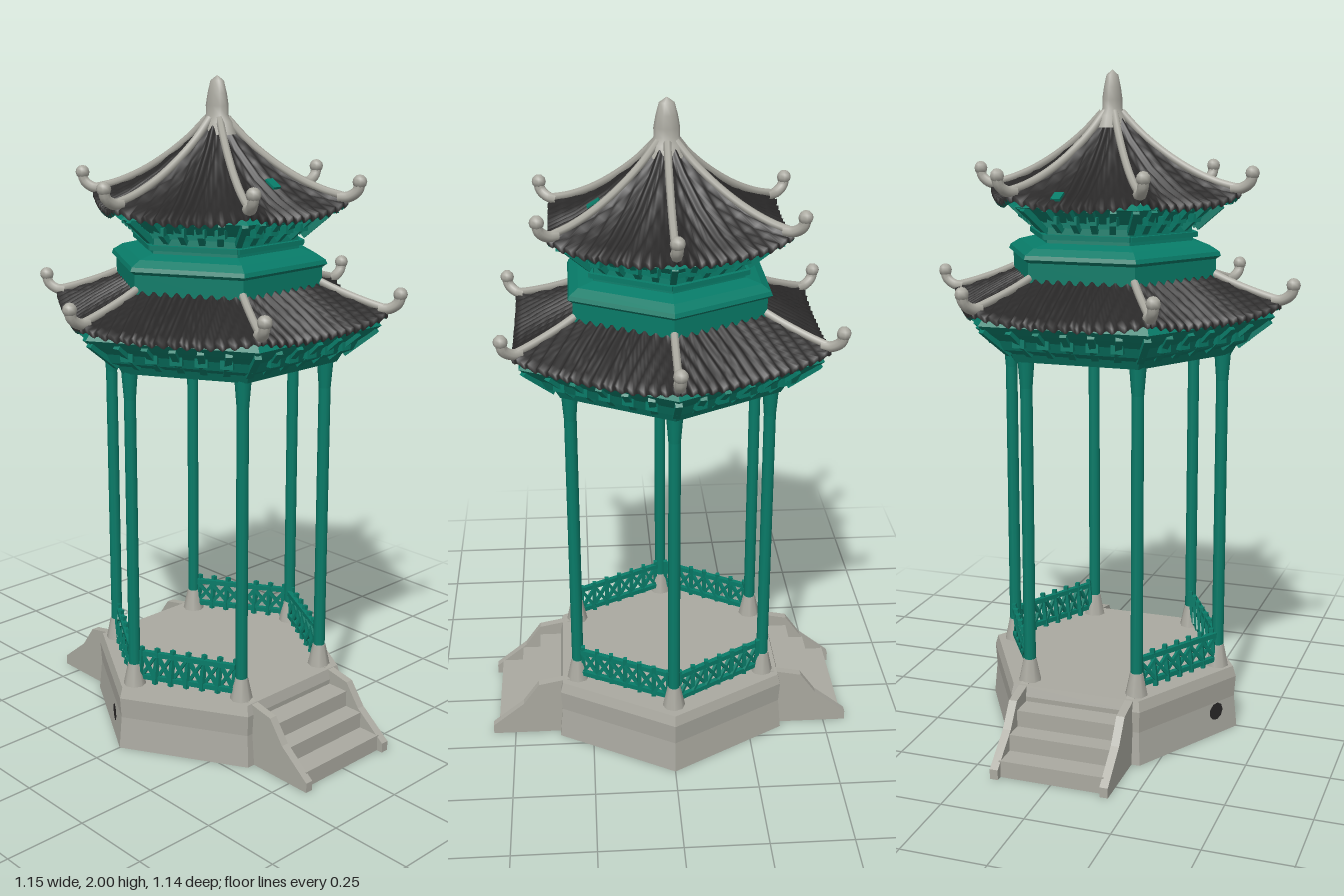
import * as THREE from 'three';

const stone = new THREE.MeshStandardMaterial({ color: 0xaaa9a0 });
stone.name = 'stone';
const green = new THREE.MeshStandardMaterial({ color: 0x087b68, side: THREE.DoubleSide });
green.name = 'greenPaint';
const tile = new THREE.MeshStandardMaterial({ color: 0x292828 });
tile.name = 'darkTile';

const V = (x, y, z) => new THREE.Vector3(x, y, z);
// Point at hexagon corner i (corner 0 on +x)
const corner = (i, r, y) => V(r * Math.cos(i * Math.PI / 3), y, r * Math.sin(i * Math.PI / 3));
// Point on hexagon side i, u from 0 to 1 between its corners
const onSide = (i, u, r, y) => corner(i, r, y).lerp(corner(i + 1, r, y), u);

function add(parent, name, geo, mat, x = 0, y = 0, z = 0) {
  const m = new THREE.Mesh(geo, mat);
  m.name = name;
  m.position.set(x, y, z);
  parent.add(m);
  return m;
}

function group(parent, name, x = 0) {
  const g = new THREE.Group();
  g.name = name;
  g.position.x = x;
  parent.add(g);
  return g;
}

// Square bar between two points
function bar(parent, name, a, b, w, mat) {
  const m = add(parent, name, new THREE.BoxGeometry(w, w, a.distanceTo(b)), mat);
  m.position.copy(a).lerp(b, 0.5);
  m.lookAt(b);
  return m;
}

const profilePoints = pairs => pairs.map(p => new THREE.Vector2(p[0], p[1]));

// Six-sided faceted body from [radius, y] pairs
function hexBody(pairs) {
  const g = new THREE.LatheGeometry(profilePoints(pairs), 6, Math.PI / 2).toNonIndexed();
  g.computeVertexNormals();
  return g;
}

// Roof point: side i, u along the side, v from top to eave
function roofPoint(spec, i, u, v, drop, amp) {
  const n = spec.profile.length - 1;
  const k = Math.min(Math.floor(v * n), n - 1), f = v * n - k;
  const [r0, y0] = spec.profile[k], [r1, y1] = spec.profile[k + 1];
  const r = r0 + (r1 - r0) * f, e = Math.abs(2 * u - 1);
  const rib = amp * Math.cos((u - 0.5) * r * Math.PI * 2 / 0.034);
  const y = y0 + (y1 - y0) * f + spec.lift * e ** 3 * v * v + rib - drop;
  return onSide(i, u, r + rib * 0.6, y);
}

// Ribbed hexagonal roof skin with upturned corners and a short eave lip
function roofSkin(spec, drop, lip) {
  const rows = 8, cols = 72, pos = [], idx = [];
  for (let i = 0; i < 6; i++) {
    const base = pos.length / 3;
    for (let j = 0; j <= rows + 1; j++) {
      for (let c = 0; c <= cols; c++) {
        const extra = j > rows ? lip : 0;
        pos.push(...roofPoint(spec, i, c / cols, Math.min(j / rows, 1), drop + extra, 0.006).toArray());
      }
    }
    for (let j = 0; j <= rows; j++) {
      for (let c = 0; c < cols; c++) {
        const a = base + j * (cols + 1) + c, b = a + cols + 1;
        idx.push(a, a + 1, b, a + 1, b + 1, b);
      }
    }
  }
  const g = new THREE.BufferGeometry();
  g.setAttribute('position', new THREE.Float32BufferAttribute(pos, 3));
  g.setIndex(idx);
  g.computeVertexNormals();
  return g;
}

function buildRoof(parent, name, spec) {
  const g = group(parent, name);
  add(g, 'roofTiles', roofSkin(spec, 0, 0.014), tile);
  add(g, 'roofUnderside', roofSkin(spec, 0.014, 0), green);
  const [r, y] = spec.profile.at(-1);
  const tipY = y + spec.lift;
  for (let i = 0; i < 6; i++) {
    // Ridge along the corner, ending in a thick upturned horn
    const pts = [0, 0.2, 0.4, 0.6, 0.8, 0.97].map(v => roofPoint(spec, i, 0, v, -0.007, 0));
    add(g, 'ridge', new THREE.TubeGeometry(new THREE.CatmullRomCurve3(pts), 30, 0.0115, 7), stone);
    const horn = [corner(i, r - 0.03, tipY + 0.006), corner(i, r, tipY + 0.008),
      corner(i, r + 0.026, tipY + 0.026), corner(i, r + 0.034, tipY + 0.055)];
    add(g, 'ridgeHorn', new THREE.TubeGeometry(new THREE.CatmullRomCurve3(horn), 12, 0.016, 8), stone);
    const knob = add(g, 'ridgeTip', new THREE.SphereGeometry(0.021, 8, 6), stone);
    knob.position.copy(corner(i, r + 0.032, tipY + 0.052));
  }
}

// Sloped bracket arms with cross blocks, spaced along each side
function buildBrackets(parent, name, count, r0, y0, r1, y1, w) {
  const g = group(parent, name);
  const rm = (r0 + r1) / 2, ym = (y0 + y1) / 2, du = 0.25 / count;
  for (let i = 0; i < 6; i++) {
    for (let k = 0; k < count; k++) {
      const u = k / count;
      bar(g, 'bracketArm', onSide(i, u, r0, y0), onSide(i, u, r1, y1), w, green);
      if (k > 0) bar(g, 'bracketBlock', onSide(i, u - du, rm, ym), onSide(i, u + du, rm, ym), w * 1.3, green);
    }
  }
}

function buildBase(parent) {
  const g = group(parent, 'base');
  add(g, 'platform', hexBody([[0, 0.004], [0.4, 0.004], [0.41, 0], [0.4, 0.1], [0.405, 0.165],
    [0.395, 0.197], [0, 0.197]]), stone);
  // Hollow stairs: thin steps between two side walls
  const cheek = new THREE.Shape(profilePoints(
    [[0.32, 0], [0.57, 0], [0.57, 0.03], [0.47, 0.11], [0.42, 0.18], [0.32, 0.2]]));
  for (const turn of [0, Math.PI]) {
    const stairs = group(g, 'stairs');
    stairs.rotation.y = turn;
    [[0.15, 0.32, 0.42], [0.1, 0.4, 0.48], [0.05, 0.46, 0.55]].forEach(([h, z0, z1]) =>
      add(stairs, 'step', new THREE.BoxGeometry(0.32, 0.05, z1 - z0), stone, 0, h - 0.025, (z0 + z1) / 2));
    for (const x of [-0.155, 0.18]) {
      const side = add(stairs, 'stairCheek',
        new THREE.ExtrudeGeometry(cheek, { depth: 0.025, bevelEnabled: false }), stone, x, 0, 0);
      side.rotation.y = -Math.PI / 2;
    }
  }
  // Small dark openings: one low on a side, one underneath
  const drain = add(g, 'drainOpening', new THREE.CircleGeometry(0.028, 9), tile);
  drain.position.copy(onSide(3, 0.22, 0.409, 0.075));
  drain.lookAt(drain.position.clone().add(corner(3.5, 1, 0)));
  add(g, 'drainOutlet', new THREE.CircleGeometry(0.03, 9), tile, -0.3, 0.001, 0.1).rotation.x = Math.PI / 2;
}

function buildColumns(parent) {
  const g = group(parent, 'columns', -0.006);
  for (let i = 0; i < 6; i++) {
    const p = corner(i, 0.339, 0);
    add(g, 'column', new THREE.CylinderGeometry(0.018, 0.018, 1.0, 10), green, p.x, 0.71, p.z);
    add(g, 'columnTop', new THREE.CylinderGeometry(0.026, 0.018, 0.1, 10), green, p.x, 1.15, p.z);
    add(g, 'columnFoot', new THREE.CylinderGeometry(0.02, 0.036, 0.075, 8), stone, p.x, 0.228, p.z);
  }
}

// Lattice railings on the four sides without stairs
function buildRailings(parent) {
  const g = group(parent, 'railings', -0.006);
  for (const i of [0, 2, 3, 5]) {
    const at = (u, y) => onSide(i, u, 0.339, y);
    for (const y of [0.222, 0.3]) bar(g, 'rail', at(0.05, y), at(0.95, y), 0.015, green);
    const n = 6;
    for (let k = 0; k <= n; k++) {
      const u = 0.06 + 0.88 * k / n, u2 = 0.06 + 0.88 * (k + 1) / n;
      bar(g, 'picket', at(u, 0.205), at(u, 0.32), 0.013, green);
      if (k === n) continue;
      bar(g, 'lattice', at(u, 0.225), at(u2, 0.295), 0.01, green);
      bar(g, 'lattice', at(u, 0.295), at(u2, 0.225), 0.01, green);
    }
  }
}

export function createModel() {
  const model = new THREE.Group();
  model.name = 'pavilion';
  buildBase(model);
  buildColumns(model);
  buildRailings(model);

  // Beam ring with recessed ceiling, flaring out to close against the lower eave
  add(model, 'lowerBeam', hexBody([[0, 1.31], [0.32, 1.31], [0.325, 1.18], [0.37, 1.18], [0.385, 1.205],
    [0.425, 1.222], [0.44, 1.25], [0.47, 1.272], [0.5, 1.297], [0.48, 1.32]]), green);
  buildBrackets(model, 'lowerBrackets', 6, 0.39, 1.208, 0.485, 1.285, 0.02);
  buildRoof(model, 'lowerRoof', { profile: [[0.315, 1.41], [0.42, 1.362], [0.52, 1.312]], lift: 0.028 });

  // Upper storey band, ledge and narrow neck flaring to the upper eave
  add(model, 'upperStorey', hexBody([[0.31, 1.35], [0.32, 1.39], [0.32, 1.46], [0.335, 1.47], [0.33, 1.482],
    [0.3, 1.5], [0.25, 1.512], [0.245, 1.56], [0.28, 1.585], [0.31, 1.612], [0.368, 1.62], [0.34, 1.635]]), green);
  const rails = group(model, 'neckRails');
  for (let i = 0; i < 6; i++)
    for (const y of [1.53, 1.565]) bar(rails, 'neckRail', corner(i, 0.258, y), corner(i + 1, 0.258, y), 0.014, green);
  buildBrackets(model, 'upperBrackets', 5, 0.26, 1.55, 0.335, 1.615, 0.018);
  const upper = { profile: [[0.03, 1.872], [0.1, 1.8], [0.2, 1.722], [0.3, 1.665], [0.392, 1.628]], lift: 0.03 };
  buildRoof(model, 'upperRoof', upper);

  // Two small green patches lying on the upper tiles
  for (const [x, y, z, tilt] of [[0.02, 1.706, 0.21, 0.56], [0.06, 1.652, -0.3, -0.43]])
    add(model, 'greenPatch', new THREE.BoxGeometry(0.028, 0.008, 0.04), green, x, y, z).rotation.x = tilt;

  // Finial, flattened from side to side
  const finial = add(model, 'finial', new THREE.LatheGeometry(profilePoints(
    [[0.062, 1.835], [0.05, 1.87], [0.035, 1.89], [0.036, 1.915], [0.03, 1.95], [0.021, 1.985], [0, 2]]), 10), stone);
  finial.scale.set(0.8, 1, 1.05);
  return model;
}
